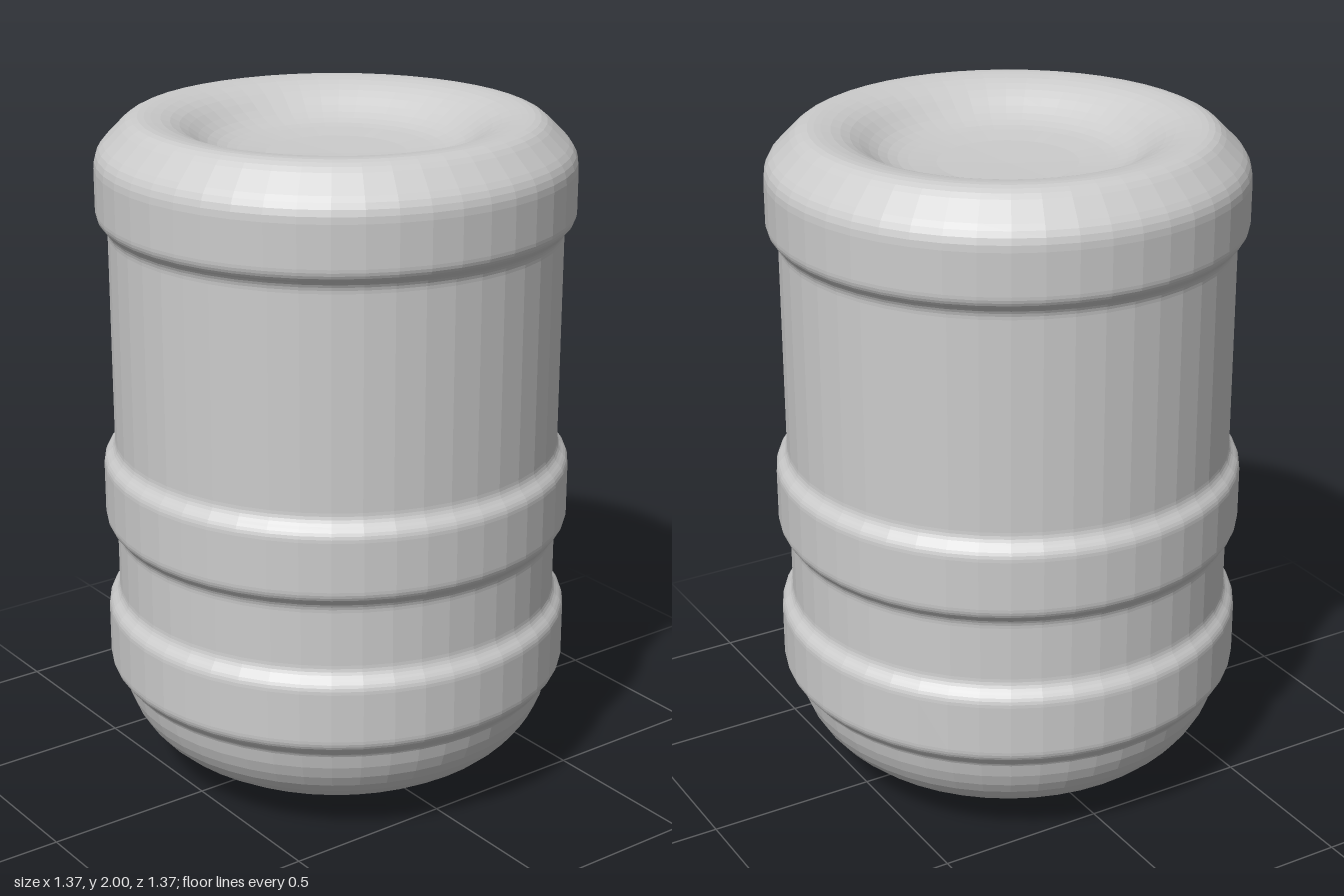
import * as THREE from 'three';

const SIDES = 48;
const material = new THREE.MeshStandardMaterial({ color: 0xcccccc, flatShading: true, side: THREE.DoubleSide });

// Rounds the corners of a profile; each point is [radius, height, fillet length].
function rounded(points, steps = 4) {
  const out = [];
  points.forEach(([x, y, f = 0], i) => {
    const p = new THREE.Vector2(x, y);
    if (!f) { out.push(p); return; }
    const toward = ([qx, qy]) => {
      const d = new THREE.Vector2(qx - x, qy - y);
      return p.clone().add(d.setLength(Math.min(f, d.length() * 0.49)));
    };
    const curve = new THREE.QuadraticBezierCurve(toward(points[i - 1]), p, toward(points[i + 1]));
    out.push(...curve.getPoints(steps));
  });
  return out;
}

function lathe(name, profile) {
  const mesh = new THREE.Mesh(new THREE.LatheGeometry(profile, SIDES), material);
  mesh.name = name;
  return mesh;
}

export function createModel() {
  const group = new THREE.Group();
  group.name = 'waterBottle';
  const wall = 0.652, bulge = 0.685;

  // Raised band around the body
  const band = (low, high) => [
    [wall, low - 0.035, 0.02], [bulge, low, 0.02], [bulge, high, 0.02], [wall, high + 0.035, 0.02],
  ];

  // Bowl-shaped shoulder, from the neck out to the wall
  const shoulder = [[0.17, 0.07], [0.36, 0.07]];
  for (let i = 0; i <= 9; i++) {
    const a = (i / 9) * 1.4;
    shoulder.push([0.39 + 0.26 * Math.sin(a), 0.075 + 0.275 * (1 - Math.cos(a))]);
  }

  group.add(lathe('body', rounded([
    ...shoulder,
    ...band(0.35, 0.535),
    ...band(0.805, 0.99),
    [wall, 1.68, 0.02], [bulge, 1.715, 0.02],
    // Bevelled top edge and dished base
    [bulge, 1.895, 0.04], [0.58, 2.0, 0.04],
    [0.465, 1.988, 0.06], [0.34, 1.9, 0.06], [0.2, 1.885], [0, 1.88],
  ])));

  // Open neck with a thick rim
  group.add(lathe('neck', rounded([
    [0.115, 0.09], [0.115, 0], [0.145, 0], [0.145, 0.05, 0.01], [0.17, 0.07],
  ], 3)));
  return group;
}
